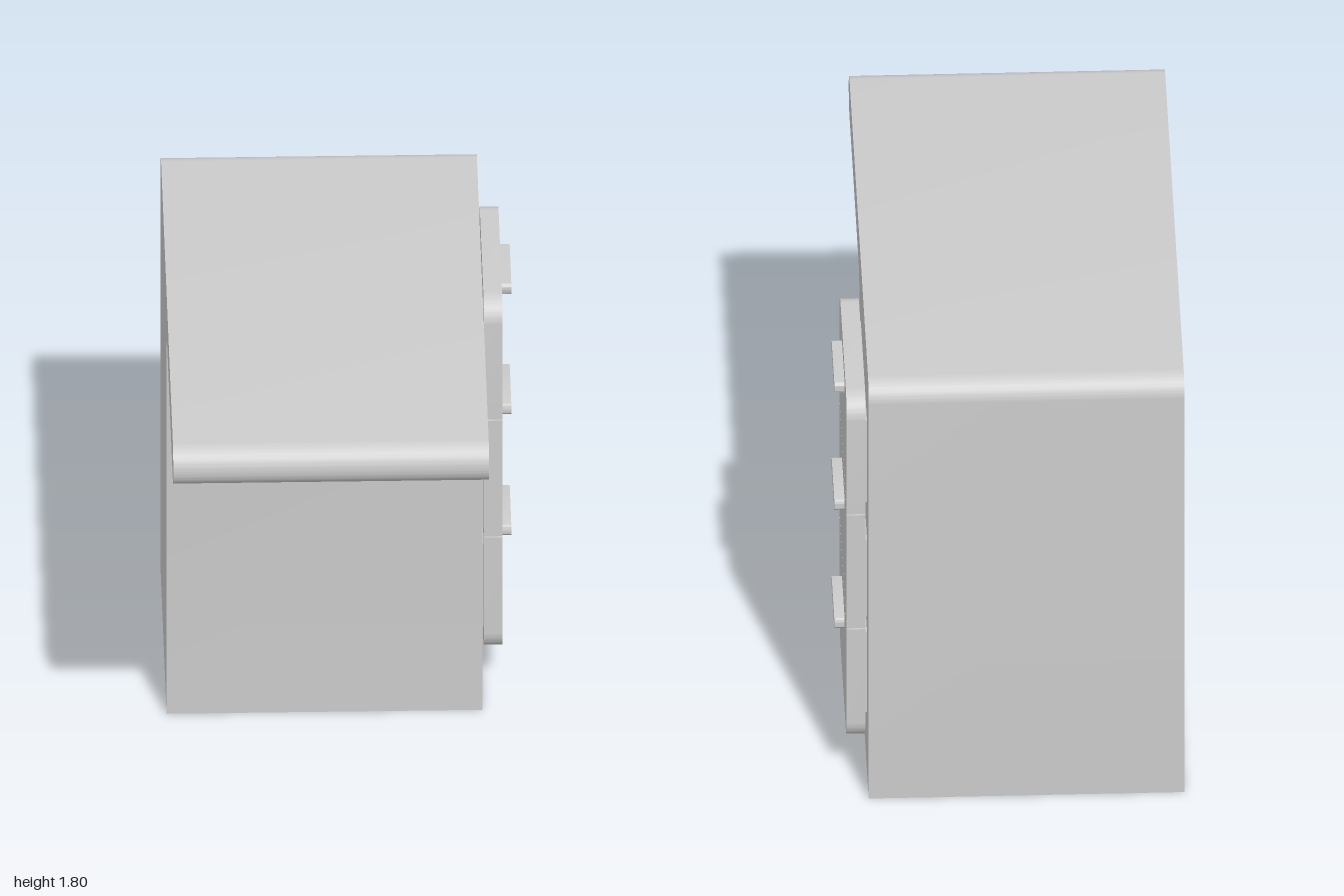
import * as THREE from 'three';
import { toCreasedNormals } from 'three/addons/utils/BufferGeometryUtils.js';

const material = new THREE.MeshStandardMaterial({ color: 0xcccccc });

// Outline from corners [u, y, radius], each rounded by a circular arc (u = -z).
function roundedOutline(corners) {
  const shape = new THREE.Shape();
  const n = corners.length;
  corners.forEach(([u, y, r], i) => {
    const p = new THREE.Vector2(u, y);
    const toward = (c) => new THREE.Vector2(c[0], c[1]).sub(p).normalize();
    const a = toward(corners[(i + n - 1) % n]);
    const b = toward(corners[(i + 1) % n]);
    const start = p.clone().addScaledVector(a, r);
    if (i === 0) shape.moveTo(start.x, start.y);
    else shape.lineTo(start.x, start.y);
    if (r > 0) {
      const c = start.clone().addScaledVector(b, r);
      const end = p.clone().addScaledVector(b, r);
      shape.absarc(c.x, c.y, r,
        Math.atan2(start.y - c.y, start.x - c.x),
        Math.atan2(end.y - c.y, end.x - c.x),
        a.x * b.y - a.y * b.x > 0);
    }
  });
  shape.closePath();
  return shape;
}

// Extrudes a side outline across the model, from x0 to x1.
function slab(name, corners, x0, x1) {
  const geometry = new THREE.ExtrudeGeometry(roundedOutline(corners), {
    depth: x1 - x0, bevelEnabled: false, curveSegments: 10,
  });
  geometry.rotateY(Math.PI / 2).translate(x0, 0, 0);
  const mesh = new THREE.Mesh(toCreasedNormals(geometry, 0.6), material);
  mesh.name = name;
  return mesh;
}

// Rectangle corners with separate bottom and top radii.
const rect = (u0, u1, y0, y1, bottom, top = bottom) => [
  [u0, y0, bottom], [u1, y0, bottom], [u1, y1, top], [u0, y1, top],
];

export function createModel() {
  const model = new THREE.Group();
  model.name = 'desk';

  // Cabinet and overhanging top in one piece
  model.add(slab('deskBody', [
    [0.06, 0, 0], [1, 0, 0], [1, 1.805, 0.075],
    [-1, 1.805, 0.078], [-1, 1.645, 0.078], [0.06, 1.645, 0.075],
  ], -0.625, 0.51));

  // Drawers: [bottom, top, bottom radius, top radius, backing bottom, backing top, handle bottom]
  const drawers = [
    [0.163, 0.664, 0.09, 0, 0.26, 0.615, 0.52],
    [0.669, 1.165, 0, 0, 0.68, 1.02, 1.04],
    [1.17, 1.662, 0, 0.09, 1.185, 1.54, 1.555],
  ];
  for (const [y0, y1, bottom, top, back0, back1, handleY] of drawers) {
    const drawer = new THREE.Group();
    drawer.name = 'drawer';
    drawer.add(
      slab('drawerBacking', rect(0.21, 0.83, back0, back1, 0), 0.5, 0.52),
      slab('drawerFront', rect(0.175, 0.885, y0, y1, bottom, top), 0.518, 0.585),
      slab('drawerHandle', rect(0.4, 0.68, handleY, handleY + 0.045, 0.014), 0.58, 0.622),
    );
    model.add(drawer);
  }
  return model;
}
